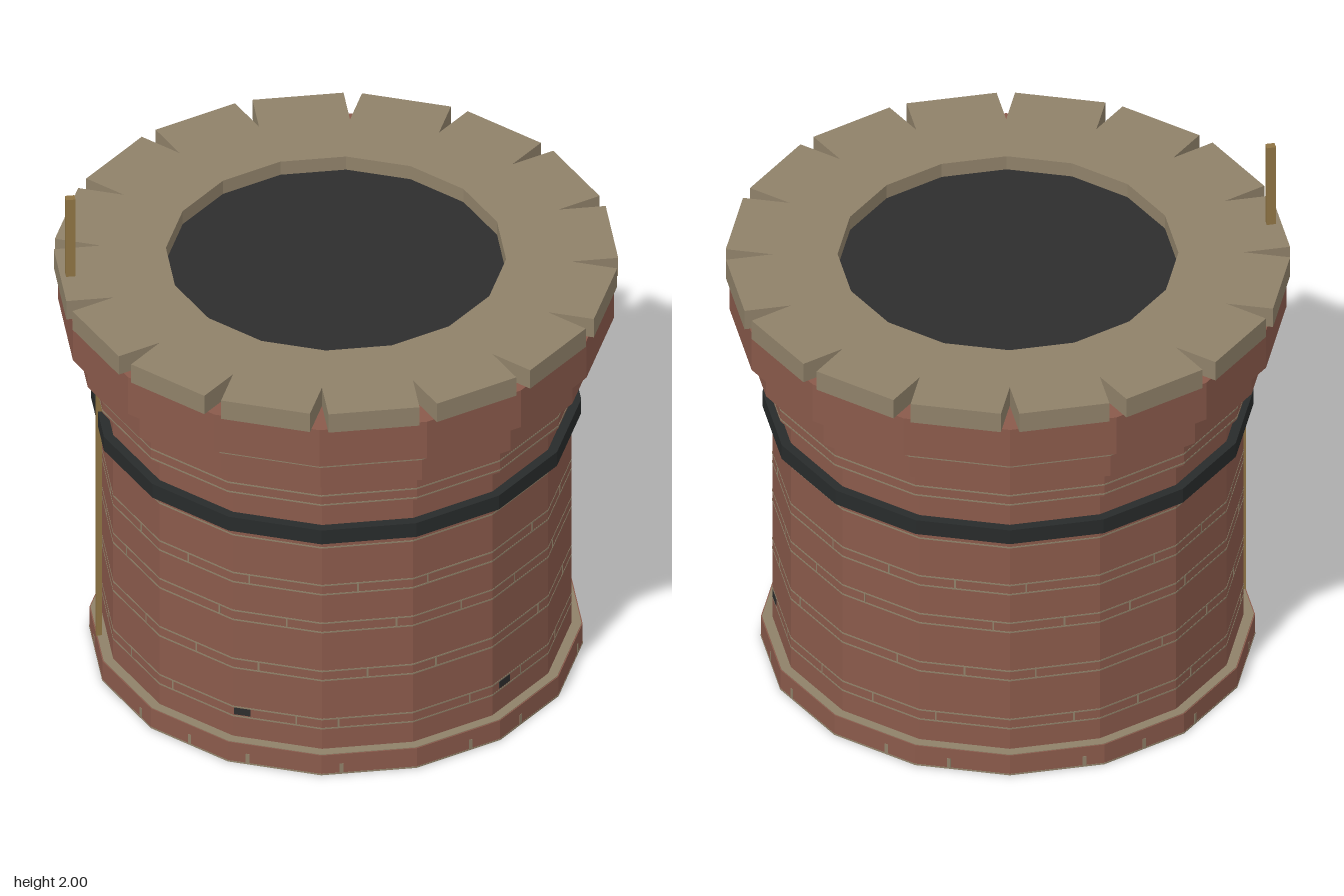
import * as THREE from 'three';

const SIDES = 16;
const STEP = (Math.PI * 2) / SIDES;
const HALF = STEP / 2;

const material = (name, color) => {
  const m = new THREE.MeshStandardMaterial({ color });
  m.name = name;
  return m;
};

// Separate the faces so every facet has its own flat normal
function flat(geometry) {
  const g = geometry.index ? geometry.toNonIndexed() : geometry;
  g.computeVertexNormals();
  return g;
}

// Sixteen-sided hollow ring; inner and outer are distances to the flat faces
function ringGeometry(inner, outer, y0, y1) {
  const a = inner / Math.cos(HALF), b = outer / Math.cos(HALF);
  const profile = [[a, y0], [b, y0], [b, y1], [a, y1], [a, y0]]
    .map(([x, y]) => new THREE.Vector2(x, y));
  return flat(new THREE.LatheGeometry(profile, SIDES, HALF));
}

// Coping slab: one square-ended block per side, with V notches between
function copingGeometry() {
  const halfWidth = 0.165, apothem = 1;
  const notch = halfWidth / Math.sin(HALF);
  const outline = [], hole = [];
  for (let i = 0; i < SIDES; i++) {
    const t = i * STEP, c = Math.cos(t), s = Math.sin(t);
    for (const w of [-halfWidth, halfWidth]) {
      outline.push(new THREE.Vector2(apothem * c - w * s, apothem * s + w * c));
    }
    const dir = new THREE.Vector2(Math.cos(t + HALF), Math.sin(t + HALF));
    outline.push(dir.clone().multiplyScalar(notch));
    hole.push(dir.clone().multiplyScalar(0.6 / Math.cos(HALF)));
  }
  const shape = new THREE.Shape(outline);
  shape.holes.push(new THREE.Path(hole));
  const g = new THREE.ExtrudeGeometry(shape, { depth: 0.08, bevelEnabled: false });
  g.rotateX(-Math.PI / 2);
  return flat(g);
}

export function createModel() {
  const brick = material('brick', 0x8a5a4b);
  const stone = material('stone', 0x8f8169);
  const soot = material('soot', 0x2d2d2d);
  const iron = material('iron', 0x282b2b);
  const brass = material('brass', 0x8f7444);

  const model = new THREE.Group();
  model.name = 'chimney';
  const add = (name, geometry, mat, parent = model) => {
    const mesh = new THREE.Mesh(geometry, mat);
    mesh.name = name;
    parent.add(mesh);
    return mesh;
  };

  // Thin plate lying on one of the sixteen faces
  const plate = (name, face, apothem, offset, y, w, h, mat, parent) => {
    const g = new THREE.BoxGeometry(w, h, 0.005);
    g.translate(offset, y, apothem);
    g.rotateY(face * STEP);
    return add(name, g, mat, parent);
  };

  // Brick shaft, plinth and stepped corbels
  add('shaft', ringGeometry(0.825, 0.83, 0, 1.2), brick);
  add('plinth', ringGeometry(0.83, 0.87, 0, 0.085), brick);
  [[0.87, 1.17, 1.295], [0.925, 1.295, 1.425], [0.98, 1.425, 1.585]].forEach(([r, y0, y1], i) =>
    add('corbel' + (i + 1), ringGeometry(0.82, r, y0, y1), brick));

  // Iron strap around the shaft
  add('ironBand', ringGeometry(0.83, 0.865, 1.005, 1.065), iron);

  // Coping and the dark flue closing its opening
  add('coping', copingGeometry(), stone).position.y = 1.585;
  const flue = flat(new THREE.CylinderGeometry(0.62, 0.62, 0.006, SIDES, 1, false, HALF));
  add('flue', flue, soot).position.y = 1.605;

  // Fine horizontal mortar lines
  const mortar = new THREE.Group();
  mortar.name = 'mortar';
  model.add(mortar);
  const lines = [
    [0.83, [0.175, 0.215, 0.385, 0.425, 0.595, 0.635, 0.76, 0.8, 0.965]],
    [0.87, [0.003, 1.18, 1.22]],
    [0.925, [1.385]],
  ];
  for (const [r, heights] of lines) {
    for (const y of heights) {
      add('mortarLine', ringGeometry(r - 0.004, r + 0.001, y - 0.003, y + 0.003), stone, mortar);
    }
  }
  add('plinthMortar', ringGeometry(0.83, 0.866, 0.08, 0.087), stone, mortar);

  // Short upright joints, staggered from course to course
  [0.195, 0.405, 0.615, 0.78].forEach((y, row) => {
    for (let i = 0; i < SIDES; i++) {
      const offset = ((i * 5 + row * 3) % 7 - 3) * 0.035;
      plate('mortarJoint', i, 0.829, offset, y, 0.006, 0.04, stone, mortar);
    }
  });
  for (let i = 0; i < SIDES; i++) {
    plate('plinthJoint', i, 0.869, ((i * 3) % 5 - 2) * 0.05, 0.025, 0.014, 0.04, stone, mortar);
  }

  // Small weep holes near the foot
  [[-1, -0.13], [2, -0.095], [4, -0.12]].forEach(([face, offset]) =>
    plate('weepHole', face, 0.83, offset, 0.197, 0.06, 0.028, soot));

  // Lightning rod above the coping and its conductor down the shaft
  add('lightningRod', new THREE.BoxGeometry(0.034, 0.4, 0.028), brass).position.set(-0.963, 1.8, 0);
  add('conductor', new THREE.BoxGeometry(0.02, 1.1, 0.026), brass).position.set(-0.86, 0.63, 0);

  return model;
}
